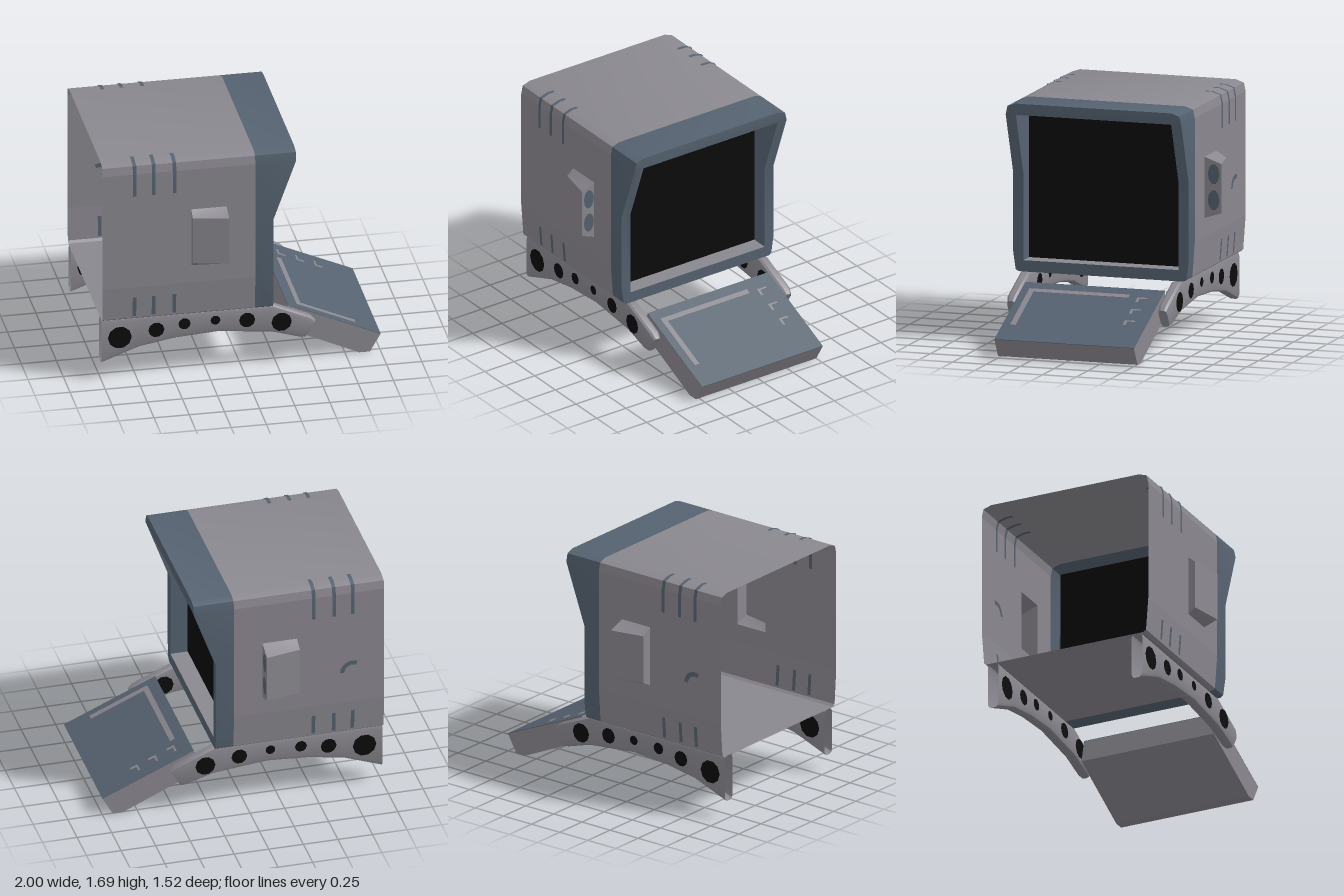
import * as THREE from 'three';
import { toCreasedNormals } from 'three/addons/utils/BufferGeometryUtils.js';

const mat = (name, color) => {
  const m = new THREE.MeshStandardMaterial({ color, side: THREE.DoubleSide });
  m.name = name;
  return m;
};

export function createModel() {
  const gray = mat('warm gray', 0x8a888f);
  const slate = mat('slate blue', 0x556270);
  const black = mat('black', 0x0b0b0b);
  const root = new THREE.Group();
  root.name = 'boardingModule';
  const ZC = 0.012; // slight sideways offset of the shell
  const hull = new THREE.Group();
  hull.name = 'hull';
  hull.position.z = ZC;
  root.add(hull);

  const add = (parent, name, geo, material) => {
    const m = new THREE.Mesh(geo, material);
    m.name = name;
    parent.add(m);
    return m;
  };

  // Skin between successive rings of [x, y, z] points
  const loft = (rings, { closed = true, skip = () => false, cap = false } = {}) => {
    const pos = [];
    const n = rings[0].length;
    for (let r = 0; r + 1 < rings.length; r++) {
      const a = rings[r], b = rings[r + 1];
      for (let i = 0; i < (closed ? n : n - 1); i++) {
        if (skip(i, r)) continue;
        const j = (i + 1) % n;
        pos.push(...a[i], ...b[i], ...b[j], ...a[i], ...b[j], ...a[j]);
      }
    }
    if (cap) {
      const e = rings[rings.length - 1];
      for (let i = 1; i + 1 < n; i++) pos.push(...e[0], ...e[i], ...e[i + 1]);
    }
    const g = new THREE.BufferGeometry();
    g.setAttribute('position', new THREE.Float32BufferAttribute(pos, 3));
    return toCreasedNormals(g, 0.5);
  };

  // Hull sections: half outline from the roof edge down, then mirrored
  const W = 0.648, SPLIT = 0.085;
  const half = (crease) => [[0.575, 1.69], [0.635, 1.67], [W, 1.61], [W, 1.17], [W, crease], [0.63, 0.485], [0.61, 0.47]];
  const mirrored = (h) => [...h, ...h.map(([z, y]) => [-z, y]).reverse()];
  const frontX = (y) => 0.215 + 0.16 * THREE.MathUtils.clamp((y - 1.17) / 0.44, 0, 1);
  const ring = (h, x) => mirrored(h).map(([z, y]) => [typeof x === 'number' ? x : x(y), y, z]);
  const rear = ring(half(0.73), -1);
  const mid = ring(half(0.73), SPLIT);
  const front = ring(half(0.61), frontX);
  const wallColumns = [2, 3, 9, 10];
  add(hull, 'hullShell', loft([rear, mid], { skip: (i) => wallColumns.includes(i) }), gray);
  add(hull, 'frontCollar', loft([mid, front]), slate);

  // Flat side walls, open behind the side pods
  const X0 = -0.37, X1 = -0.12;
  const wall = new THREE.Shape([[-1, 0.73], [SPLIT, 0.73], [SPLIT, 1.61], [-1, 1.61]].map((p) => new THREE.Vector2(...p)));
  wall.holes.push(new THREE.Path([[X0, 0.865], [X0, 1.3], [X1, 1.3], [X1, 0.865]].map((p) => new THREE.Vector2(...p))));
  for (const s of [1, -1]) add(hull, 'sideWall', new THREE.ShapeGeometry(wall), gray).position.z = s * W;

  // Door frame: front rim, reveal, sill and dark panel
  const I = 0.573;
  const innerHalf = [[I, 1.61], [I, 1.61], [I, 1.61], [I, 1.17], [I, 0.61], [I, 0.55], [I, 0.55]];
  const opening = ring(innerHalf, frontX);
  const openingBack = ring(innerHalf, SPLIT + 0.004);
  add(hull, 'doorRim', loft([front, opening]), slate);
  add(hull, 'doorReveal', loft([opening, openingBack], { skip: (i) => i === 6 }), slate);
  add(hull, 'doorSill', loft([opening, openingBack], { skip: (i) => i !== 6 }), gray);
  const panel = add(hull, 'doorPanel', new THREE.PlaneGeometry(2 * I, 1.06), black);
  panel.rotation.y = Math.PI / 2;
  panel.position.set(SPLIT + 0.005, 1.08, 0);

  // Painted slots that wrap the roof edges and the lower walls, on both faces
  const topPath = [[0.525, 1.69], [0.575, 1.69], [0.635, 1.67], [W, 1.61], [W, 1.44]];
  const lowPath = [[0.643, 0.65], [0.6315, 0.5]];
  for (const s of [1, -1]) for (const x of [-0.773, -0.637, -0.49]) for (const path of [topPath, lowPath])
    for (const o of [0.004, -0.004]) {
      const line = (px) => path.map(([z, y]) => [px, y + (y > 1.62 ? o : 0), s * (z + o)]);
      add(hull, 'paintedSlot', loft([line(x - 0.013), line(x + 0.013)], { closed: false }), slate);
    }

  // Hook mark on the back wall
  for (const o of [0.004, -0.004])
    add(hull, 'hookMark', new THREE.RingGeometry(0.058, 0.09, 16, 1, 0, 2), slate).position.set(-0.77, 0.97, -W - o);

  // Wedge pods on both sides with round lamps facing forward
  for (const s of [1, -1]) {
    const base = ZC + s * W;
    const rect = (a, b, z0, z1) => [[X0, a, z0], [X1, a, z1], [X1, b, z1], [X0, b, z0]];
    add(root, 'sidePod', loft([rect(0.865, 1.3, base, base), rect(0.905, 1.255, s * 0.712, s * 0.762)], { cap: true }), gray);
    for (const y of [0.995, 1.18]) {
      const lamp = add(root, 'podLamp', new THREE.CircleGeometry(1, 10), slate);
      lamp.scale.set(0.043, 0.073, 1);
      lamp.rotation.y = Math.PI / 2;
      lamp.position.set(X1 + 0.003, y, s * 0.705);
    }
  }

  // Arched side rails, open at the rear end, with dark round ports
  const stations = [ // top x, top y, bottom x, bottom y
    [-1, 0.47, -1, 0.13], [-0.73, 0.47, -0.73, 0.23], [-0.47, 0.47, -0.47, 0.275], [-0.17, 0.47, -0.17, 0.295],
    [0.215, 0.47, 0.22, 0.255], [0.49, 0.35, 0.41, 0.197], [0.525, 0.315, 0.45, 0.19],
  ];
  const R = 0.042;
  const section = ([tx, ty, bx, by], k) => {
    const L = Math.hypot(tx - bx, ty - by);
    const w = k === stations.length - 1 ? R * 0.75 : R;
    const side = [[0.45, 0], [0.83, 0.01], [1, 0.033]].map(([f, d]) => [f * w, d / L]);
    const loop = [...side, ...side.map(([z, t]) => [z, 1 - t]).reverse()];
    return [...loop, ...loop.map(([z, t]) => [-z, t]).reverse()]
      .map(([z, t]) => [bx + (tx - bx) * t, by + (ty - by) * t, z]);
  };
  const ports = [[-0.87, 0.325, 0.085], [-0.61, 0.36, 0.057], [-0.41, 0.388, 0.043],
    [-0.19, 0.395, 0.035], [0.035, 0.375, 0.057], [0.28, 0.337, 0.072]];
  for (const s of [1, -1]) {
    const rail = new THREE.Group();
    rail.name = 'sideRail';
    rail.position.z = s * 0.559;
    hull.add(rail);
    add(rail, 'railBody', loft(stations.map(section), { cap: true }), gray);
    for (const [x, y, r] of ports) for (const f of [1, -1])
      add(rail, 'railPort', new THREE.CircleGeometry(r, 10), black).position.set(x, y, f * (R + 0.003));
  }

  // Sloping ramp
  const D = 0.515;
  const rampShape = new THREE.Shape([[0.34, 0.42], [0.3, 0.25], [0.85, 0], [0.925, 0], [1, 0.13]].map((p) => new THREE.Vector2(...p)));
  const rampGeo = new THREE.ExtrudeGeometry(rampShape, { depth: 2 * D, bevelEnabled: false });
  add(hull, 'ramp', rampGeo.translate(0, 0, -D), gray);

  // Ramp deck and its painted lines, laid along the slope
  const deck = new THREE.Group();
  deck.name = 'rampDeck';
  deck.position.set(0.34, 0.42, 0);
  deck.rotation.z = Math.atan2(-0.29, 0.66);
  hull.add(deck);
  const len = Math.hypot(0.66, 0.29), grow = len / 0.66;
  const plate = (name, x0, x1, z0, z1, y, material) =>
    add(deck, name, new THREE.BoxGeometry((x1 - x0) * grow, 0.004, z1 - z0), material)
      .position.set(((x0 + x1) / 2 - 0.34) * grow, y, (z0 + z1) / 2 - (material === gray ? ZC : 0));
  plate('deckSurface', 0.34, 1, -D, D, 0.001, slate);
  plate('deckLine', 0.412, 0.447, -0.27, 0.47, 0.004, gray);
  plate('deckLine', 0.447, 0.83, 0.43, 0.47, 0.004, gray);
  for (const x of [0.437, 0.57, 0.7]) {
    plate('deckTick', x, x + 0.014, -0.41, -0.335, 0.004, gray);
    plate('deckTick', x + 0.014, x + 0.055, -0.355, -0.335, 0.004, gray);
  }
  return root;
}
